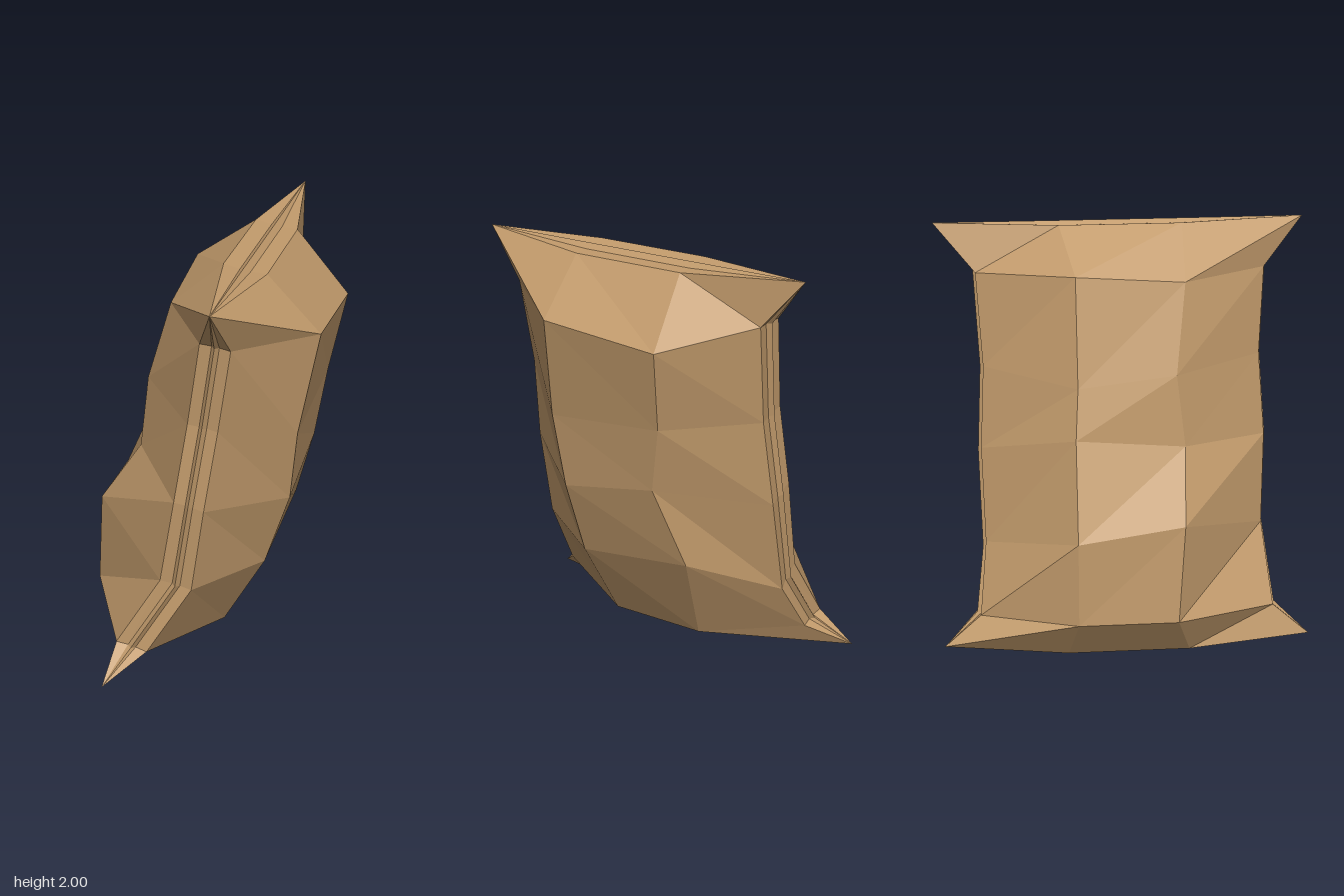
import * as THREE from 'three';

const mirrorZ = (x, y, z) => [[x, y, z], [x, y, -z]];
const topTips = mirrorZ(0.2, 2, 0.88);
const bottomTips = mirrorZ(-0.33, 0.05, 0.88);

// Each panel row runs from the +z corner to the -z corner: edge, inner, inner, edge.
const rightPanel = [
  [topTips[0], [0.3, 1.97, 0.29], [0.3, 1.97, -0.29], topTips[1]],
  [[0.24, 1.76, 0.685], [0.55, 1.71, 0.29], [0.545, 1.66, -0.32], [0.24, 1.77, -0.68]],
  [[0.175, 1.35, 0.66], [0.46, 1.22, 0.325], [0.465, 1.27, -0.285], [0.17, 1.3, -0.66]],
  [[0.115, 0.95, 0.685], [0.42, 0.86, 0.285], [0.42, 0.95, -0.22], [0.105, 0.88, -0.68]],
  [[0.05, 0.52, 0.67], [0.3, 0.49, 0.27], [0.31, 0.56, -0.335], [-0.01, 0.41, -0.67]],
  [[-0.16, 0.17, 0.71], [0.09, 0.11, 0.23], [0.09, 0.11, -0.26], [-0.16, 0.17, -0.71]],
  [bottomTips[0], [-0.27, 0.005, 0.29], [-0.27, 0.005, -0.29], bottomTips[1]],
];
const leftPanel = [
  [topTips[0], [0.1, 2, 0.29], [0.1, 2, -0.29], topTips[1]],
  [[0.1, 1.78, 0.685], [-0.15, 1.78, 0.28], [-0.17, 1.82, -0.23], [0.1, 1.78, -0.685]],
  [[0.035, 1.37, 0.66], [-0.28, 1.37, 0.23], [-0.29, 1.32, -0.23], [0.03, 1.34, -0.66]],
  [[-0.025, 0.98, 0.685], [-0.31, 1.03, 0.27], [-0.36, 1.09, -0.245], [-0.03, 0.95, -0.68]],
  [[-0.1, 0.55, 0.67], [-0.52, 0.71, 0.25], [-0.55, 0.65, -0.25], [-0.12, 0.5, -0.67]],
  [[-0.31, 0.2, 0.705], [-0.555, 0.24, 0.22], [-0.555, 0.24, -0.25], [-0.31, 0.2, -0.705]],
  [bottomTips[0], [-0.4, 0.025, 0.29], [-0.4, 0.025, -0.29], bottomTips[1]],
];

const same = (a, b) => a.every((v, i) => Math.abs(v - b[i]) < 1e-6);

function addQuad(out, a, b, c, d) {
  for (const t of [[a, b, c], [a, c, d]]) {
    if (!same(t[0], t[1]) && !same(t[1], t[2]) && !same(t[0], t[2])) out.push(...t.flat());
  }
}

function facetedMesh(name, positions, material) {
  const geometry = new THREE.BufferGeometry();
  geometry.setAttribute('position', new THREE.Float32BufferAttribute(positions, 3));
  geometry.computeVertexNormals();
  const mesh = new THREE.Mesh(geometry, material);
  mesh.name = name;
  return mesh;
}

function panelPositions(rows, flip) {
  const out = [];
  for (let j = 0; j < rows.length - 1; j++) {
    for (let i = 0; i < 3; i++) {
      const a = rows[j][i], b = rows[j][i + 1], c = rows[j + 1][i + 1], d = rows[j + 1][i];
      if (flip) addQuad(out, a, b, c, d);
      else addQuad(out, a, d, c, b);
    }
  }
  return out;
}

// Border of a panel, walked once around
function border(rows) {
  const last = rows.length - 1;
  const inner = rows.slice(1, last);
  return [
    ...rows[0],
    ...inner.map((r) => r[3]),
    ...[...rows[last]].reverse(),
    ...inner.map((r) => r[0]).reverse(),
  ];
}

// Piped seam between the borders: valley, ridge, valley
function seamPositions() {
  const right = border(rightPanel), left = border(leftPanel);
  const profile = [[0, 0], [0.375, -0.007], [0.5, 0.014], [0.625, -0.007], [1, 0]];
  const strips = right.map((r, k) => {
    const l = left[k];
    const isTip = same(r, l);
    const onSide = Math.abs(r[2]) > 0.5;
    return profile.map(([t, offset]) => {
      const p = r.map((v, i) => v + (l[i] - v) * t);
      if (!isTip && onSide) p[2] += Math.sign(r[2]) * offset;
      else if (!isTip) p[1] += (r[1] > 1 ? 1 : -0.3) * offset;
      return p;
    });
  });
  const out = [];
  strips.forEach((s, k) => {
    const n = strips[(k + 1) % strips.length];
    for (let i = 0; i < profile.length - 1; i++) addQuad(out, s[i], n[i], n[i + 1], s[i + 1]);
  });
  return out;
}

export function createModel() {
  const cloth = new THREE.MeshStandardMaterial({ color: 0xc19a6b });
  cloth.name = 'tan cloth';
  cloth.flatShading = true;

  const pillow = new THREE.Group();
  pillow.name = 'pillow';
  pillow.add(
    facetedMesh('leftPanel', panelPositions(rightPanel, false), cloth),
    facetedMesh('rightPanel', panelPositions(leftPanel, true), cloth),
    facetedMesh('seam', seamPositions(), cloth),
  );
  return pillow;
}
